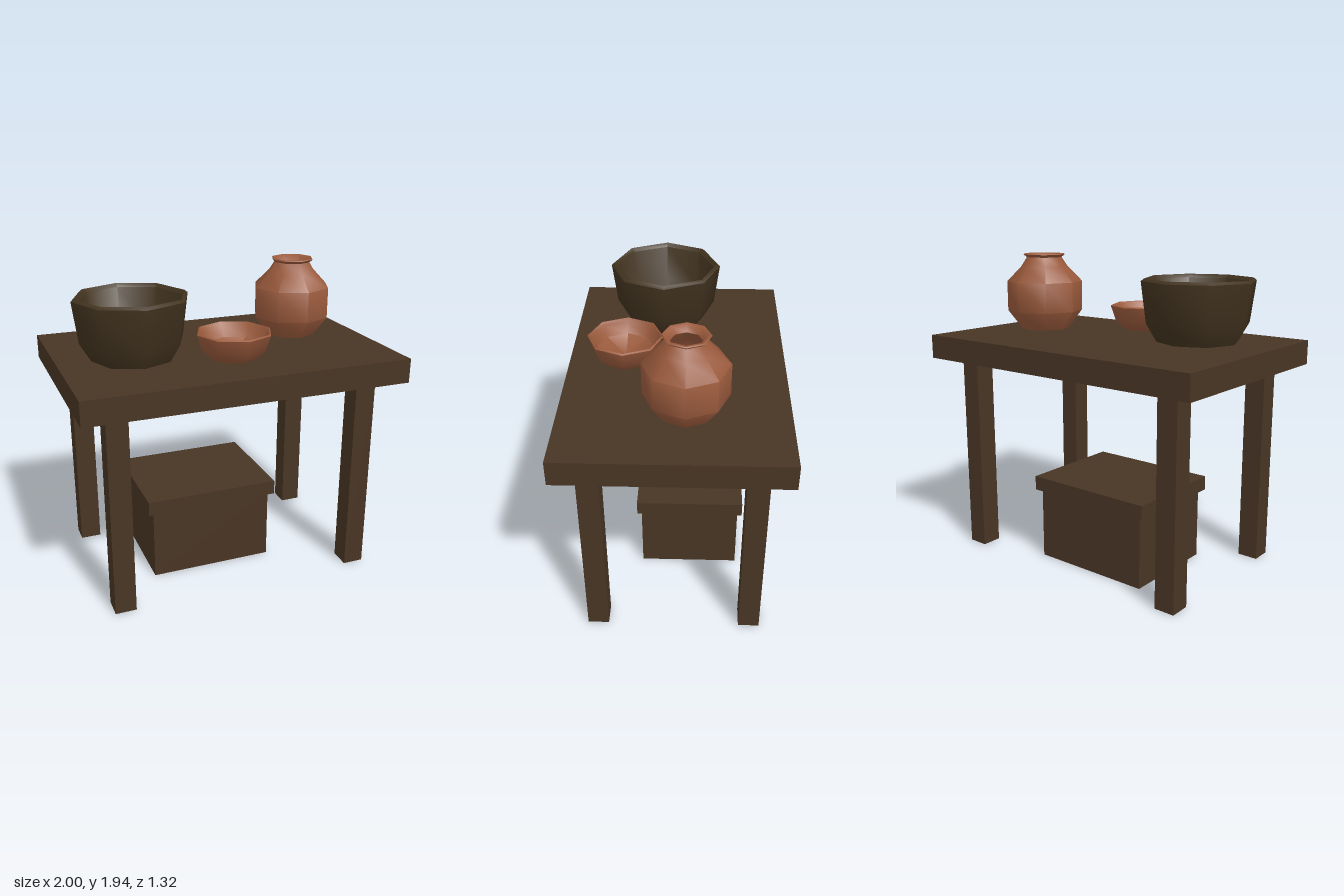
import * as THREE from 'three';
import { toCreasedNormals } from 'three/addons/utils/BufferGeometryUtils.js';

const material = (name, color) => {
  const m = new THREE.MeshStandardMaterial({ color });
  m.name = name;
  return m;
};

export function createModel() {
  const wood = material('dark wood', 0x483524);
  const darkClay = material('dark clay', 0x42331f);
  const terracotta = material('terracotta', 0x9a5a3c);

  const model = new THREE.Group();
  model.name = 'potteryTable';

  // Box given by its min and max corners
  const box = (parent, name, [x0, y0, z0], [x1, y1, z1]) => {
    const mesh = new THREE.Mesh(new THREE.BoxGeometry(x1 - x0, y1 - y0, z1 - z0), wood);
    mesh.position.set((x0 + x1) / 2, (y0 + y1) / 2, (z0 + z1) / 2);
    mesh.name = name;
    parent.add(mesh);
  };

  // Eight-sided vessel: profile runs up the outside, over the rim and down the inside
  const vessel = (name, mat, x, z, profile) => {
    const points = profile.map(([r, y]) => new THREE.Vector2(r, y));
    const geometry = toCreasedNormals(new THREE.LatheGeometry(points, 8), 0.95);
    const mesh = new THREE.Mesh(geometry, mat);
    mesh.position.set(x, 1.447, z);
    mesh.name = name;
    model.add(mesh);
  };

  // Table
  const table = new THREE.Group();
  table.name = 'table';
  model.add(table);
  box(table, 'tableTop', [-1, 1.275, -0.66], [1, 1.425, 0.66]);
  for (const sx of [-1, 1]) {
    for (const sz of [-1, 1]) {
      const x = sx * 0.778, z = sz * 0.474;
      box(table, 'tableLeg', [x - 0.065, 0, z - 0.065], [x + 0.065, 1.275, z + 0.065]);
    }
  }

  // Storage chest under the table
  const chest = new THREE.Group();
  chest.name = 'chest';
  model.add(chest);
  box(chest, 'chestBody', [-0.5, 0, -0.403], [0.285, 0.455, 0.226]);
  box(chest, 'chestLid', [-0.535, 0.455, -0.43], [0.32, 0.545, 0.252]);

  // Large dark bowl
  vessel('largeBowl', darkClay, -0.555, 0.09, [
    [0, 0], [0.25, 0], [0.315, 0.11], [0.348, 0.36], [0.328, 0.375],
    [0.305, 0.355], [0.275, 0.13], [0.2, 0.04], [0, 0.02],
  ]);

  // Small shallow bowl
  vessel('smallBowl', terracotta, 0, 0.312, [
    [0, 0], [0.135, 0], [0.2, 0.065], [0.23, 0.155], [0.22, 0.162],
    [0.205, 0.145], [0.175, 0.075], [0, 0.02],
  ]);

  // Round-bodied jar with a flared lip
  vessel('jar', terracotta, 0.55, -0.065, [
    [0, 0], [0.155, 0], [0.245, 0.12], [0.245, 0.31], [0.152, 0.405],
    [0.113, 0.465], [0.135, 0.482], [0.13, 0.488], [0.112, 0.486],
    [0.088, 0.45], [0.13, 0.39], [0.215, 0.295], [0.215, 0.13], [0.14, 0.03], [0, 0.02],
  ]);

  return model;
}
